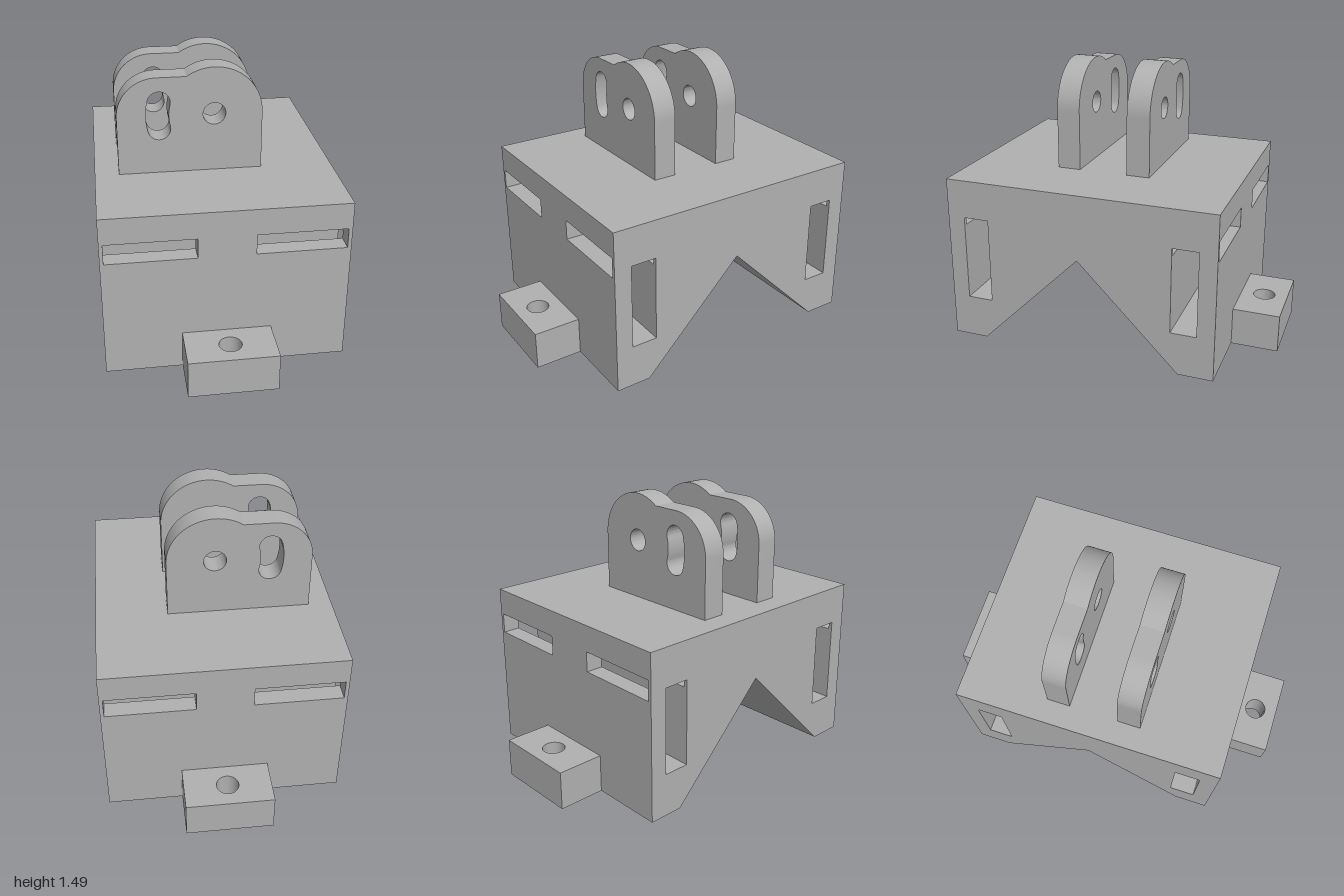
import * as THREE from 'three';
import { toCreasedNormals } from 'three/addons/utils/BufferGeometryUtils.js';

const grey = new THREE.MeshStandardMaterial({ color: 0xb0b0b0 });
grey.name = 'grey';

// Main dimensions
const W = 0.64, D = 0.745, H = 0.915;
const foot = 0.555, apex = 0.555;              // V-groove under the block
const sideSlot = { z0: 0.51, z1: 0.65, y0: 0.235, y1: 0.705 };
const frontSlot = { x0: 0.15, x1: 0.62, y0: 0.66, y1: 0.77 };

const polygon = (points) => new THREE.Shape(points.map(([x, y]) => new THREE.Vector2(x, y)));

const extrude = (shape, depth) =>
  toCreasedNormals(new THREE.ExtrudeGeometry(shape, { depth, bevelEnabled: false, curveSegments: 24 }), 0.5);

function addMesh(parent, name, geometry) {
  const mesh = new THREE.Mesh(geometry, grey);
  mesh.name = name;
  parent.add(mesh);
  return mesh;
}

function circleHole(x, y, r) {
  return new THREE.Path().absarc(x, y, r, 0, Math.PI * 2, true);
}

// Side profile at full height, with both side slots as holes
function solidProfile() {
  const s = polygon([[-D, 0], [-foot, 0], [0, apex], [foot, 0], [D, 0], [D, H], [-D, H]]);
  const { z0, z1, y0, y1 } = sideSlot;
  for (const k of [-1, 1]) {
    s.holes.push(polygon([[k * z0, y0], [k * z1, y0], [k * z1, y1], [k * z0, y1]]));
  }
  return s;
}

// Side profile below the front slots, where the side slots break through
function lowerProfile() {
  const { z0, z1, y0 } = sideSlot, t = frontSlot.y0;
  return polygon([
    [-D, 0], [-foot, 0], [0, apex], [foot, 0], [D, 0],
    [D, t], [z1, t], [z1, y0], [z0, y0], [z0, t],
    [-z0, t], [-z0, y0], [-z1, y0], [-z1, t], [-D, t],
  ]);
}

// Slab above the front slots
function upperProfile() {
  const y = frontSlot.y1;
  return polygon([[-D, y], [D, y], [D, H], [-D, H]]);
}

function makeBlock() {
  const block = new THREE.Group();
  block.name = 'block';
  const { x0, x1 } = frontSlot;
  const band = (name, shape, from, to) =>
    addMesh(block, name, extrude(shape, to - from).rotateY(Math.PI / 2).translate(from, 0, 0));

  band('blockCentre', solidProfile(), -x0, x0);
  for (const [side, a, b, edge] of [['left', x0, x1, [x1, W]], ['right', -x1, -x0, [-W, -x1]]]) {
    band(side + 'BlockLower', lowerProfile(), a, b);
    band(side + 'BlockUpper', upperProfile(), a, b);
    band(side + 'BlockWall', solidProfile(), ...edge);
  }
  return block;
}

// Upright ear with a pivot hole and a curved adjustment slot around it
function earShape() {
  const cy = 1.237, R = 0.255, r = 0.21, cx = -0.302;
  const s = new THREE.Shape();
  s.moveTo(cx - r, H);
  s.lineTo(R, H);
  s.lineTo(R, cy);
  s.absarc(0, cy, R, 0, Math.PI - Math.asin(r / R) , false);
  s.lineTo(cx, cy + r);
  s.absarc(cx, cy, r, Math.PI / 2, Math.PI, false);
  s.lineTo(cx - r, H);

  s.holes.push(circleHole(0, cy, 0.06));

  const mid = 0.3, half = 0.06, a = 0.246, P = Math.PI;
  const endX = -mid * Math.cos(a), endY = mid * Math.sin(a);
  const slot = new THREE.Path();
  slot.absarc(0, cy, mid + half, P - a, P + a, false);
  slot.absarc(endX, cy - endY, half, P + a, 2 * P + a, false);
  slot.absarc(0, cy, mid - half, P + a, P - a, true);
  slot.absarc(endX, cy + endY, half, -a, P - a, false);
  s.holes.push(slot);
  return s;
}

// Mounting lug with a vertical bolt hole
function lugGeometry() {
  const w = 0.235, h = 0.21;
  const s = polygon([[-w, D], [w, D], [w, 1], [-w, 1]]);
  s.holes.push(circleHole(0, 0.872, 0.06));
  return extrude(s, h).rotateX(Math.PI / 2).translate(0, h, 0);
}

export function createModel() {
  const model = new THREE.Group();
  model.name = 'pivotBracket';
  model.add(makeBlock());

  const inner = 0.135, outer = 0.263;
  const ear = extrude(earShape(), outer - inner);
  addMesh(model, 'frontEar', ear).position.z = inner;
  addMesh(model, 'backEar', ear).position.z = -outer;

  const lug = lugGeometry();
  addMesh(model, 'frontLug', lug);
  addMesh(model, 'backLug', lug).rotation.y = Math.PI;
  return model;
}
